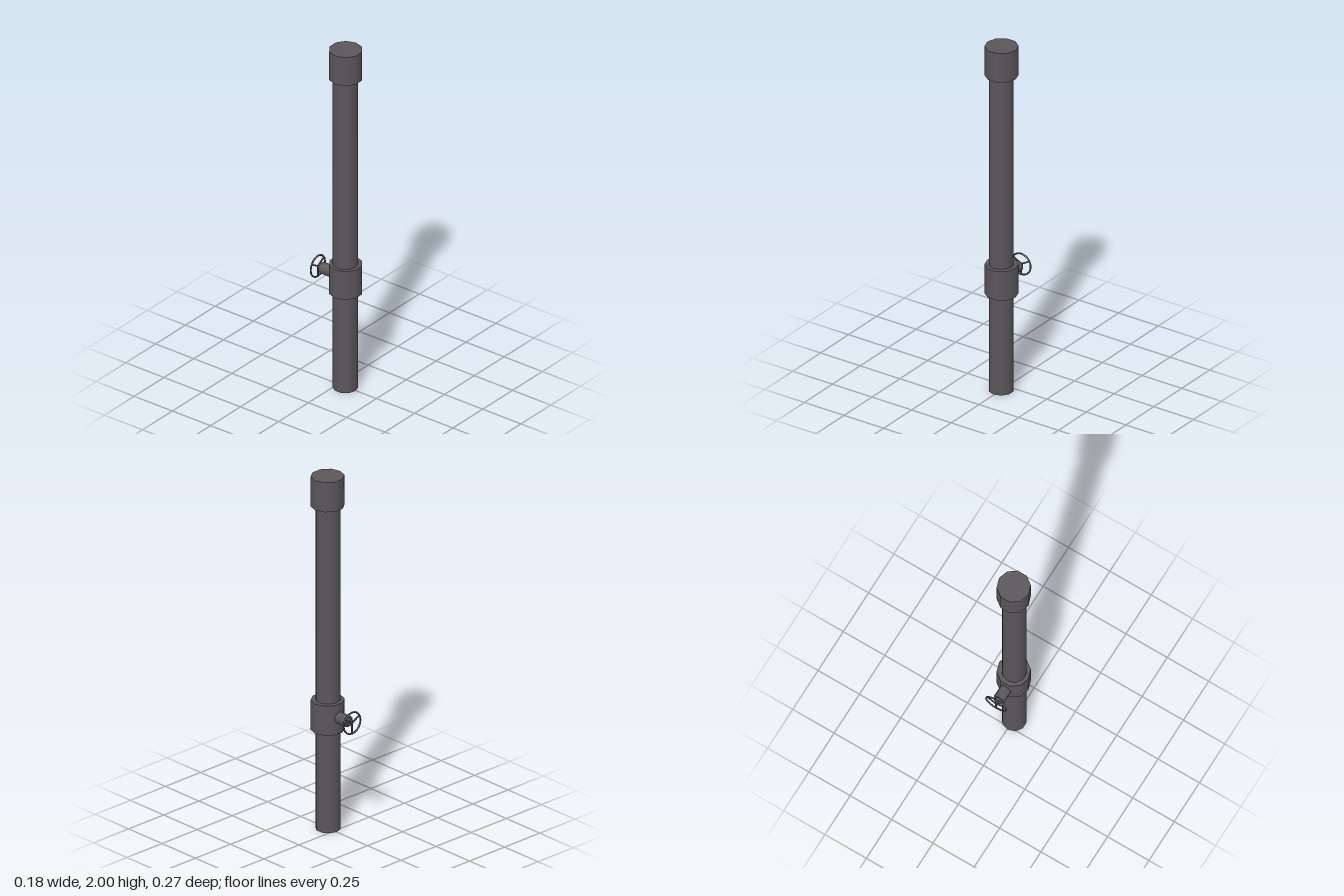
import * as THREE from 'three';

export function createModel() {
  const model = new THREE.Group();
  const iron = new THREE.MeshStandardMaterial({ color: 0x5a565a, side: THREE.DoubleSide });
  iron.name = 'darkIron';

  const pipeX = -0.003, pipeZ = 0.049, valveY = 0.655;

  function add(parent, name, geometry, x = 0, y = 0, z = 0) {
    const mesh = new THREE.Mesh(geometry, iron);
    mesh.name = name;
    mesh.position.set(x, y, z);
    parent.add(mesh);
    return mesh;
  }

  // Upright pipe, open at the foot
  add(model, 'pipe', new THREE.CylinderGeometry(0.066, 0.066, 1.9, 10, 1, true), pipeX, 0.95, pipeZ);

  // Ten-sided collars: one as the top cap, one carrying the valve
  for (const [name, bottom, top] of [['topCap', 1.832, 2], ['valveCollar', 0.564, 0.732]]) {
    const geometry = new THREE.CylinderGeometry(0.0885, 0.0885, top - bottom, 10);
    geometry.rotateY(Math.PI / 10);
    add(model, name, geometry, 0, (top + bottom) / 2, pipeZ);
  }

  // Valve pointing backwards
  const valve = new THREE.Group();
  valve.name = 'valve';
  valve.position.set(pipeX, valveY, 0);
  model.add(valve);

  const valveParts = [
    ['valveBody', 0.0315, -0.01, -0.103],
    ['valveNut', 0.019, -0.1, -0.12],
    ['valveStem', 0.0065, -0.11, -0.134],
  ];
  for (const [name, radius, front, back] of valveParts) {
    const geometry = new THREE.CylinderGeometry(radius, radius, front - back, 10);
    geometry.rotateX(Math.PI / 2);
    add(valve, name, geometry, 0, 0, (front + back) / 2);
  }

  // Hand wheel: rim and three spokes
  const wheel = new THREE.Group();
  wheel.name = 'handWheel';
  wheel.position.z = -0.131;
  valve.add(wheel);
  add(wheel, 'wheelRim', new THREE.TorusGeometry(0.06, 0.0048, 8, 20));
  for (let i = 0; i < 3; i++) {
    const angle = Math.PI / 6 + (i * Math.PI * 2) / 3;
    const spoke = add(wheel, 'wheelSpoke', new THREE.BoxGeometry(0.058, 0.008, 0.006),
      Math.cos(angle) * 0.03, Math.sin(angle) * 0.03, 0);
    spoke.rotation.z = angle;
  }

  return model;
}
